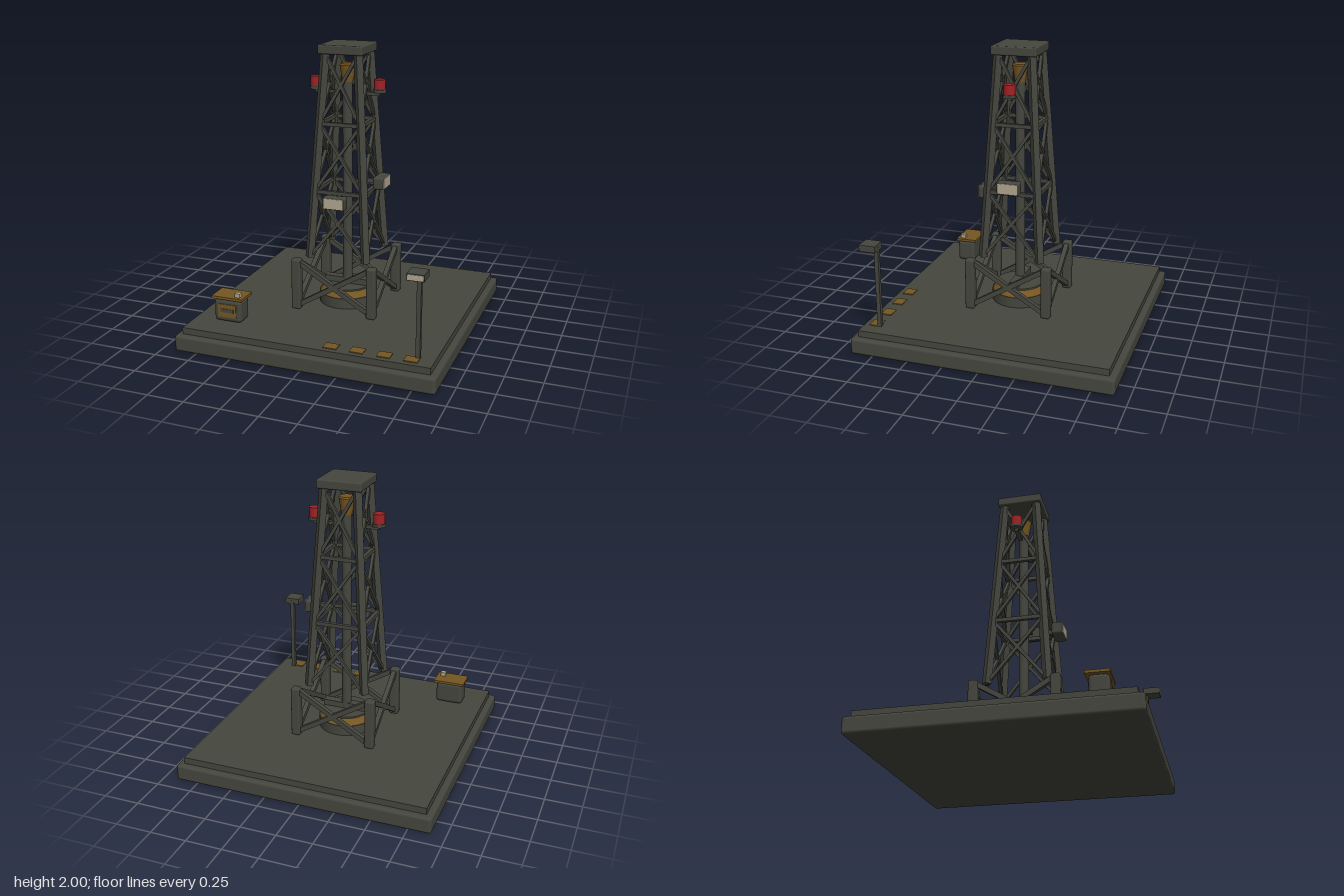
import * as THREE from 'three';
import { RoundedBoxGeometry } from 'three/addons/geometries/RoundedBoxGeometry.js';

const UP = new THREE.Vector3(0, 1, 0);

export function createModel() {
  const model = new THREE.Group();
  model.name = 'drillingDerrick';

  const material = (name, color) => {
    const m = new THREE.MeshStandardMaterial({ color });
    m.name = name;
    return m;
  };
  const steel = material('darkSteel', 0x45463e);
  const ochre = material('ochre', 0x765722);
  const cream = material('cream', 0xb0a58e);
  const red = material('beaconRed', 0xa02226);

  const add = (name, geometry, mat, x, y, z, parent = model) => {
    const mesh = new THREE.Mesh(geometry, mat);
    mesh.name = name;
    mesh.position.set(x, y, z);
    parent.add(mesh);
    return mesh;
  };
  const box = (name, w, h, d, mat, x, y, z, parent) =>
    add(name, new THREE.BoxGeometry(w, h, d), mat, x, y, z, parent);
  const rounded = (name, w, h, d, r, mat, x, y, z, parent) =>
    add(name, new RoundedBoxGeometry(w, h, d, 2, r), mat, x, y, z, parent);
  const drum = (name, rTop, rBottom, y0, y1, mat, x = 0, z = 0, parent = model) =>
    add(name, new THREE.CylinderGeometry(rTop, rBottom, y1 - y0, 32), mat, x, (y0 + y1) / 2, z, parent);

  // Square bar between two points
  const bar = (name, a, b, size, parent, roll = 0) => {
    const from = new THREE.Vector3(...a), to = new THREE.Vector3(...b);
    const dir = to.clone().sub(from);
    const mid = from.clone().add(to).multiplyScalar(0.5);
    const mesh = box(name, size, dir.length(), size, steel, mid.x, mid.y, mid.z, parent);
    mesh.quaternion.setFromUnitVectors(UP, dir.normalize());
    mesh.rotateY(roll);
    return mesh;
  };

  // Platform
  rounded('basePlate', 1.81, 0.115, 1.81, 0.02, steel, 0, 0.0575, 0);
  box('deck', 1.724, 0.05, 1.724, steel, 0, 0.135, 0);
  for (let i = 0; i < 4; i++) {
    box('deckMarking', 0.09, 0.006, 0.075, ochre, 0.18 + i * 0.18, 0.163, 0.788);
  }

  // Tower half width at a given height
  const half = (y) => 0.205 - 0.088 * (y - 0.525) / 1.415;
  const levels = [0.53, 0.997, 1.468, 1.94];

  // Legs and foot posts
  for (const sx of [-1, 1]) for (const sz of [-1, 1]) {
    const b = half(0.525), t = half(1.95);
    bar('towerLeg', [sx * b, 0.525, sz * b], [sx * t, 1.95, sz * t], 0.047, model, Math.PI / 4);
    rounded('footPost', 0.065, 0.365, 0.065, 0.012, steel, sx * 0.275, 0.342, sz * 0.275);
  }

  // Bracing, built for one face and repeated around the tower
  for (let side = 0; side < 4; side++) {
    const face = new THREE.Group();
    face.name = 'bracedFace';
    face.rotation.y = side * Math.PI / 2;
    model.add(face);
    for (const s of [-1, 1]) {
      bar('footBrace', [-s * 0.265, 0.505, 0.275], [s * 0.265, 0.185, 0.275], 0.034, face);
      for (let i = 0; i < 3; i++) {
        const y0 = levels[i], y1 = levels[i + 1], h0 = half(y0), h1 = half(y1);
        bar('diagonalBrace', [-s * h0, y0, h0], [s * h1, y1, h1], 0.022, face);
      }
    }
    for (const y of levels.slice(1, 3)) {
      const h = half(y);
      bar('crossGirt', [-h, y, h], [h, y, h], 0.026, face);
    }
  }
  rounded('crownPlate', 0.315, 0.062, 0.315, 0.01, steel, 0, 1.969, 0);

  // Drill string and well head
  drum('drillPipe', 0.034, 0.034, 0.16, 1.77, steel);
  drum('travellingBlock', 0.055, 0.036, 1.74, 1.855, ochre);
  drum('travellingBlockCap', 0.048, 0.055, 1.855, 1.865, ochre);
  drum('wellHeadBase', 0.2, 0.2, 0.16, 0.235, steel);
  drum('wellHeadCollar', 0.165, 0.195, 0.235, 0.278, ochre);
  drum('wellHeadTable', 0.165, 0.165, 0.278, 0.29, steel);
  box('wellHeadClamp', 0.33, 0.045, 0.06, steel, 0, 0.31, 0);

  // Warning beacons on short arms
  for (const s of [-1, 1]) {
    box('beaconArm', 0.14, 0.022, 0.03, steel, s * 0.165, 1.668, 0);
    drum('beaconSocket', 0.045, 0.045, 1.678, 1.7, steel, s * 0.23);
    drum('beaconLamp', 0.039, 0.039, 1.7, 1.768, red, s * 0.23);
  }

  // Floodlights on the front and left faces
  const floodlight = (y, angle) => {
    const light = new THREE.Group();
    light.name = 'floodlight';
    light.rotation.y = angle;
    model.add(light);
    rounded('floodlightBody', 0.158, 0.088, 0.076, 0.015, steel, 0, y, 0.248, light);
    box('floodlightLens', 0.142, 0.074, 0.006, cream, 0, y, 0.287, light);
    box('floodlightBracket', 0.03, 0.03, 0.08, steel, 0, y, 0.19, light);
  };
  floodlight(0.95, 0);
  floodlight(1.062, Math.PI / 2);

  // Lamp post
  box('lampPole', 0.029, 0.58, 0.029, steel, 0.75, 0.445, 0.752);
  box('lampHead', 0.112, 0.045, 0.114, steel, 0.75, 0.732, 0.796);
  box('lampLens', 0.1, 0.035, 0.004, cream, 0.75, 0.732, 0.854);

  // Control cabinet
  rounded('cabinetBody', 0.2, 0.16, 0.132, 0.025, steel, -0.615, 0.243, 0.618);
  box('cabinetRoof', 0.226, 0.018, 0.156, ochre, -0.615, 0.334, 0.612);
  box('cabinetPanel', 0.132, 0.092, 0.006, ochre, -0.615, 0.245, 0.686);
  box('cabinetSlot', 0.096, 0.026, 0.004, steel, -0.615, 0.247, 0.69);
  box('cabinetSensor', 0.037, 0.028, 0.037, cream, -0.547, 0.356, 0.646);

  return model;
}
